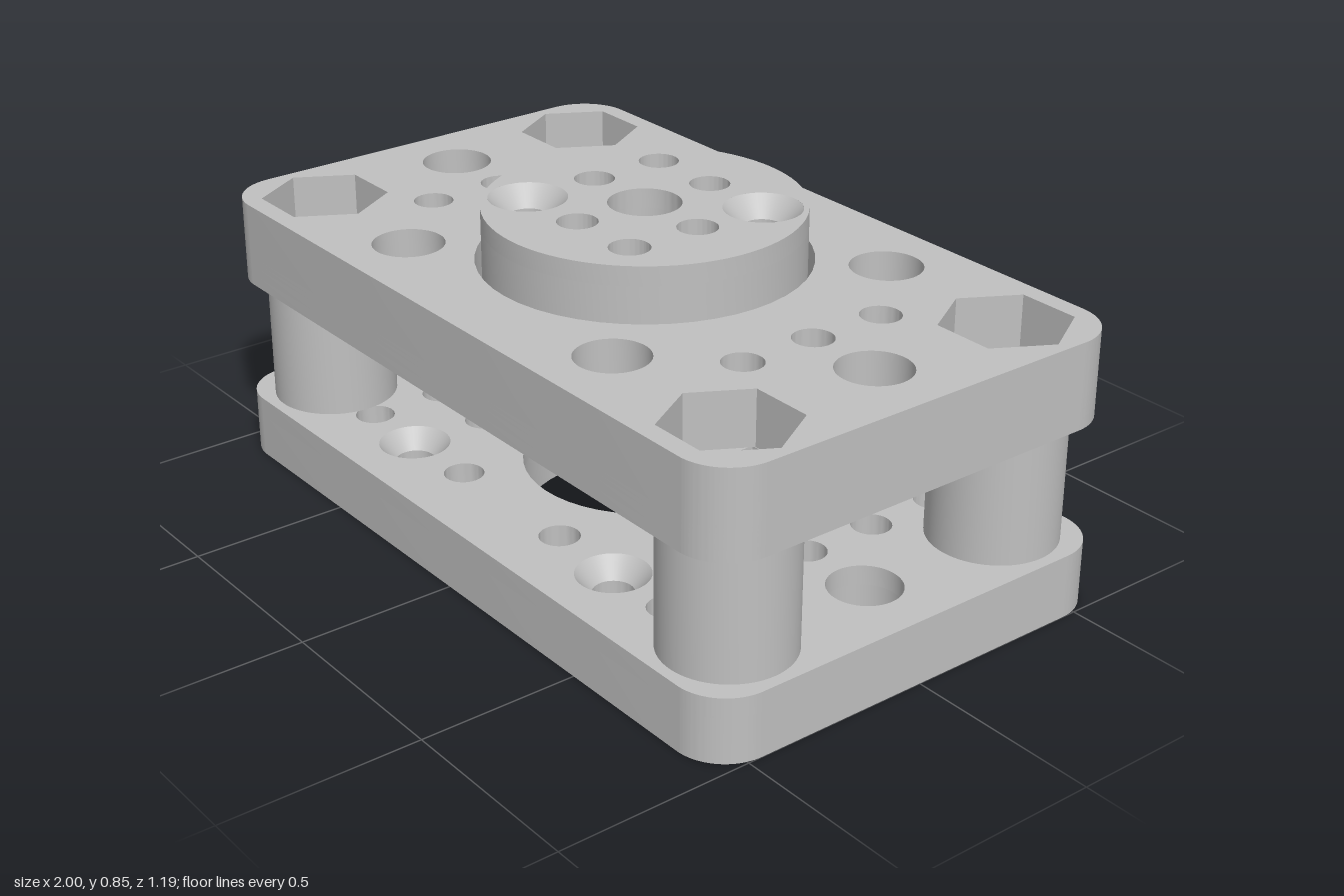
import * as THREE from 'three';
import { toCreasedNormals } from 'three/addons/utils/BufferGeometryUtils.js';

const grey = new THREE.MeshStandardMaterial({ color: 0xc0c0c0 });
grey.name = 'plainGrey';

const S = [-1, 1];
const corners = (x, z) => S.flatMap(a => S.map(b => [a * x, b * z]));

// Outlines, given in plan (x, z)
function circle(x, z, r) {
  const p = new THREE.Path();
  p.absarc(x, -z, r, 0, Math.PI * 2);
  return p;
}
function polygon(pts) {
  return new THREE.Path(pts.map(([x, z]) => new THREE.Vector2(x, -z)));
}
const rect = (x, z, w, d) => polygon([[x - w, z - d], [x + w, z - d], [x + w, z + d], [x - w, z + d]]);
const hexagon = (x, z, r) => polygon([0, 1, 2, 3, 4, 5].map(i =>
  [x + r * Math.cos(i * Math.PI / 3), z + r * Math.sin(i * Math.PI / 3)]));

function plateShape() {
  const w = 1, d = 0.593, r = 0.13, s = new THREE.Shape();
  s.absarc(w - r, d - r, r, 0, Math.PI / 2);
  s.absarc(r - w, d - r, r, Math.PI / 2, Math.PI);
  s.absarc(r - w, r - d, r, Math.PI, Math.PI * 1.5);
  s.absarc(w - r, r - d, r, Math.PI * 1.5, Math.PI * 2);
  s.closePath();
  return s;
}
function discShape(r) {
  const s = new THREE.Shape();
  s.absarc(0, 0, r, 0, Math.PI * 2);
  return s;
}

// A level slab from y0 to y1 pierced by holes
function slab(name, shape, holes, y0, y1, curveSegments = 24) {
  shape.holes.push(...holes);
  const g = new THREE.ExtrudeGeometry(shape, { depth: y1 - y0, bevelEnabled: false, curveSegments });
  g.rotateX(-Math.PI / 2);
  g.translate(0, y0, 0);
  const m = new THREE.Mesh(toCreasedNormals(g, 0.5), grey);
  m.name = name;
  return m;
}

// Inward-facing conical seat for a countersunk hole
function countersink(x, z, yTop, depth, rTop, rLow) {
  const g = new THREE.LatheGeometry(
    [new THREE.Vector2(rTop, yTop), new THREE.Vector2(rLow, yTop - depth)], 48);
  const m = new THREE.Mesh(g, grey);
  m.position.set(x, 0, z);
  m.name = 'countersink';
  return m;
}

function group(name, ...parts) {
  const g = new THREE.Group();
  g.name = name;
  g.add(...parts);
  return g;
}

export function createModel() {
  const model = new THREE.Group();
  model.name = 'mountingAssembly';

  const BOLT = 0.088, SMALL = 0.05, BIG = 0.09;
  const posts = corners(0.81, 0.405);
  const sinks = corners(0.415, 0.415);
  const sideHoles = S.map(s => circle(s * 0.81, 0, BIG));
  const at = (list, f) => list.map(([x, z]) => f(x, z));

  // Bottom plate: large opening, a grid of small holes, four countersinks
  const grid = corners(0.2, 0.41);
  for (const s of S) {
    for (const z of [-0.41, -0.205, 0, 0.205, 0.41]) {
      grid.push([s * 0.61, z]);
      if (Math.abs(z) < 0.4) grid.push([s * 0.41, z]);
    }
  }
  const bottomHoles = sinkR => [
    circle(0, 0, 0.305), ...sideHoles,
    ...at(posts, (x, z) => circle(x, z, BOLT)),
    ...at(grid, (x, z) => circle(x, z, SMALL)),
    ...at(sinks, (x, z) => circle(x, z, sinkR)),
  ];
  model.add(group('bottomPlate',
    slab('bottomPlateBase', plateShape(), bottomHoles(SMALL), 0, 0.115),
    slab('bottomPlateFace', plateShape(), bottomHoles(BIG), 0.115, 0.165),
    ...at(sinks, (x, z) => countersink(x, z, 0.165, 0.05, BIG, SMALL))));

  // Hollow corner posts
  for (const [x, z] of posts) {
    const post = slab('post', discShape(0.16), [circle(0, 0, BOLT)], 0.165, 0.49, 32);
    post.position.set(x, 0, z);
    model.add(post);
  }

  // Top plate in layers: round socket with an inner lip, stepped hexagonal nut pockets
  const through = [
    ...sideHoles,
    ...at(corners(0.41, 0.41), (x, z) => circle(x, z, BIG)),
    ...S.flatMap(s => [-0.205, 0, 0.205].map(z => circle(s * 0.61, z, SMALL))),
  ];
  const bore = (x, z) => circle(x, z, BOLT);
  const layers = [
    ['socketUnderside', 0.49, 0.52, 0.41, bore],
    ['socketLip', 0.52, 0.545, 0.35, bore],
    ['squareStep', 0.545, 0.558, 0.41, (x, z) => rect(x, z, BOLT, BOLT)],
    ['slotStep', 0.558, 0.57, 0.41, (x, z) => rect(x, z, BOLT, 0.137)],
    ['nutPocketLayer', 0.57, 0.71, 0.41, (x, z) => hexagon(x, z, 0.16)],
  ];
  model.add(group('topPlate', ...layers.map(([name, y0, y1, socket, pocket]) =>
    slab(name, plateShape(), [circle(0, 0, socket), ...through, ...at(posts, pocket)], y0, y1))));

  // Round boss: centre bore, blind holes above, nut pockets below, two countersinks
  const blind = [[-0.2, -0.2], [0, -0.2], [-0.2, 0], [0.2, 0], [0, 0.2], [0.2, 0.2]];
  const discSinks = [[0.2, -0.2], [-0.2, 0.2]];
  const discHoles = sinkR => [
    circle(0, 0, BIG),
    ...at(blind, (x, z) => circle(x, z, SMALL)),
    ...at(discSinks, (x, z) => circle(x, z, sinkR)),
  ];
  model.add(group('boss',
    slab('bossNutLayer', discShape(0.393),
      [circle(0, 0, BIG), ...at(blind, (x, z) => hexagon(x, z, 0.085))], 0.545, 0.63, 40),
    slab('bossMembrane', discShape(0.393), [circle(0, 0, BIG)], 0.63, 0.64, 40),
    slab('bossBody', discShape(0.393), discHoles(SMALL), 0.64, 0.795, 40),
    slab('bossFace', discShape(0.393), discHoles(0.097), 0.795, 0.845, 40),
    ...at(discSinks, (x, z) => countersink(x, z, 0.845, 0.05, 0.097, SMALL))));

  return model;
}
